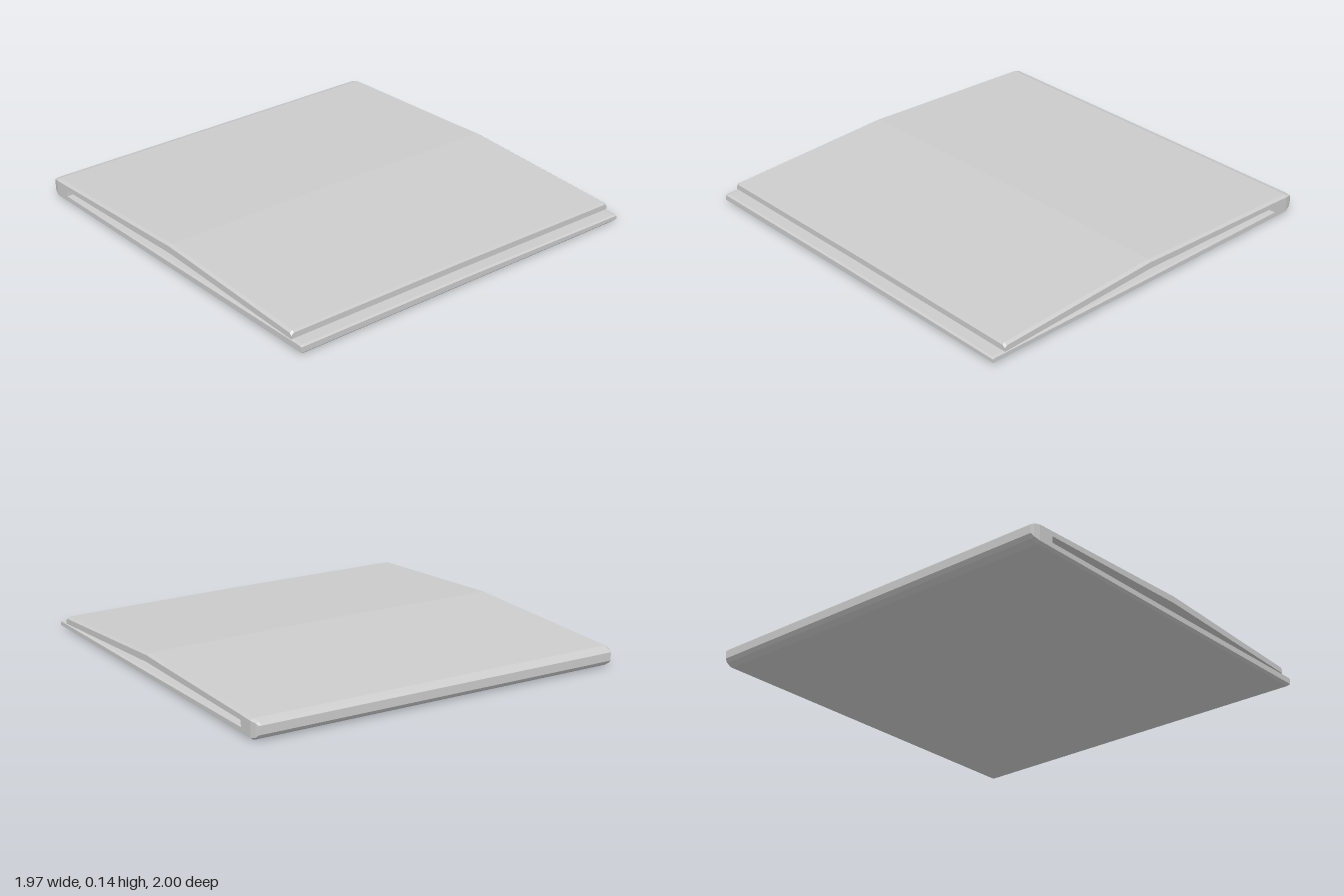
import * as THREE from 'three';

const HALF = 0.985;
const COLUMNS = [-HALF, -0.97, -0.5, 0, 0.5, 0.97, HALF];
const lerp = THREE.MathUtils.lerp;

// Lofts side profiles along x. section(x) lists [z, bottomY, topY, xScale] from front to back.
function loft(name, section, material) {
  const rings = COLUMNS.map((x) => {
    const rows = section(x);
    const low = rows.map(([z, b, , s = 1]) => [x * s, b, z]);
    const high = rows.map(([z, , t, s = 1]) => [x * s, t, z]).reverse();
    return [...low, ...high];
  });
  const n = rings[0].length;
  const last = rings.length - 1;
  const positions = [];
  const quad = (a, b, c, d) => positions.push(...a, ...b, ...c, ...a, ...c, ...d);
  for (let k = 0; k < last; k++) {
    for (let i = 0; i < n; i++) {
      const j = (i + 1) % n;
      quad(rings[k][i], rings[k][j], rings[k + 1][j], rings[k + 1][i]);
    }
  }
  // End caps
  for (let i = 0; i < n / 2 - 1; i++) {
    const [r, l] = [rings[last], rings[0]];
    quad(r[i], r[i + 1], r[n - 2 - i], r[n - 1 - i]);
    quad(l[n - 1 - i], l[n - 2 - i], l[i + 1], l[i]);
  }
  const geometry = new THREE.BufferGeometry();
  geometry.setAttribute('position', new THREE.Float32BufferAttribute(positions, 3));
  geometry.computeVertexNormals();
  const mesh = new THREE.Mesh(geometry, material);
  mesh.name = name;
  return mesh;
}

// Bevel applied at the outermost columns
const bevel = (x) => (Math.abs(x) > 0.98 ? 0.01 : 0);
// The front right corner sags slightly
const sag = (x, z) => 0.01 * Math.max(0, x) * Math.max(0, (z + 0.87) / 1.8);

// Flat lower panel
function baseSection(x) {
  const e = bevel(x);
  const top = (z) => lerp(0.035, 0.044, (z + 0.87) / 1.87) - sag(x, z);
  return [
    [1, 0.01, top(1) - 0.006],
    [0.99, e, top(0.99) - e * 0.3],
    [0, e, top(0) - e * 0.3],
    [-0.87, e, top(-0.87)],
  ];
}

// Upper panel, bowed to a ridge; its underside dips to the base along the middle
function coverSection(x) {
  const e = bevel(x);
  const side = Math.min(1, Math.abs(x) / 0.97);
  const ridge = 0.135 - side * (x > 0 ? 0.01 : 0.004);
  const row = (z, middle, edge, top) =>
    [z, lerp(middle, edge, side) - sag(x, z), top - e - sag(x, z) * (z > 0.5 ? 1 : 0)];
  return [
    row(0.93, 0.044, 0.046, 0.074),
    row(0.92, 0.044, 0.046, 0.084),
    row(0.02, 0.04, 0.086, ridge),
    row(-0.15, 0.039, 0.082, ridge - 0.006),
    row(-0.87, 0.067, 0.067, 0.102),
  ];
}

// Rounded fold that joins both panels at the back
function spineSection(x) {
  const e = bevel(x);
  return [
    [-0.87, e, 0.102 - e],
    [-0.955, e, 0.099 - e],
    [-0.985, 0.016 + e / 2, 0.09 - e / 2, 0.992],
    [-1, 0.034, 0.076, 0.985],
  ];
}

export function createModel() {
  const group = new THREE.Group();
  group.name = 'foldedPanel';
  const material = new THREE.MeshStandardMaterial({ color: 0xcccccc, flatShading: true });
  group.add(
    loft('base', baseSection, material),
    loft('cover', coverSection, material),
    loft('spine', spineSection, material),
  );
  return group;
}
